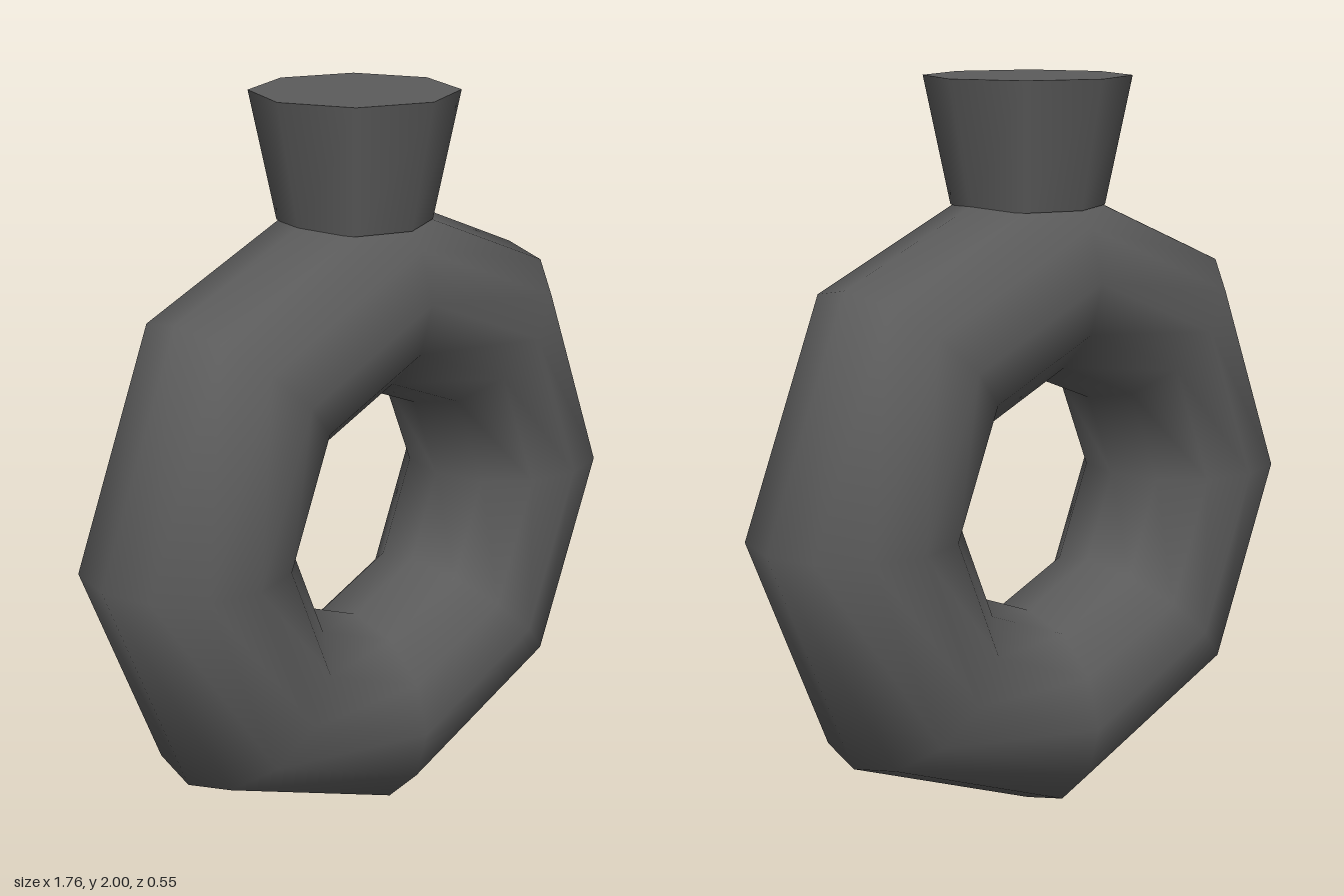
import * as THREE from 'three';

export function createModel() {
  const group = new THREE.Group();
  const darkGrey = new THREE.MeshStandardMaterial({ color: 0x5c5c5c });
  darkGrey.name = 'darkGrey';

  const add = (name, geometry, y) => {
    const mesh = new THREE.Mesh(geometry, darkGrey);
    mesh.name = name;
    mesh.position.y = y;
    group.add(mesh);
  };

  // Upright eight-sided ring with a smooth twelve-sided section
  const tube = 0.275, ringRadius = 0.605;
  add('ring', new THREE.TorusGeometry(ringRadius, tube, 12, 8), ringRadius + tube);

  // Flared neck sunk into the top of the ring
  const bottom = 1.665, top = 2;
  add('neck', new THREE.CylinderGeometry(0.272, 0.203, top - bottom, 8), (top + bottom) / 2);

  return group;
}
